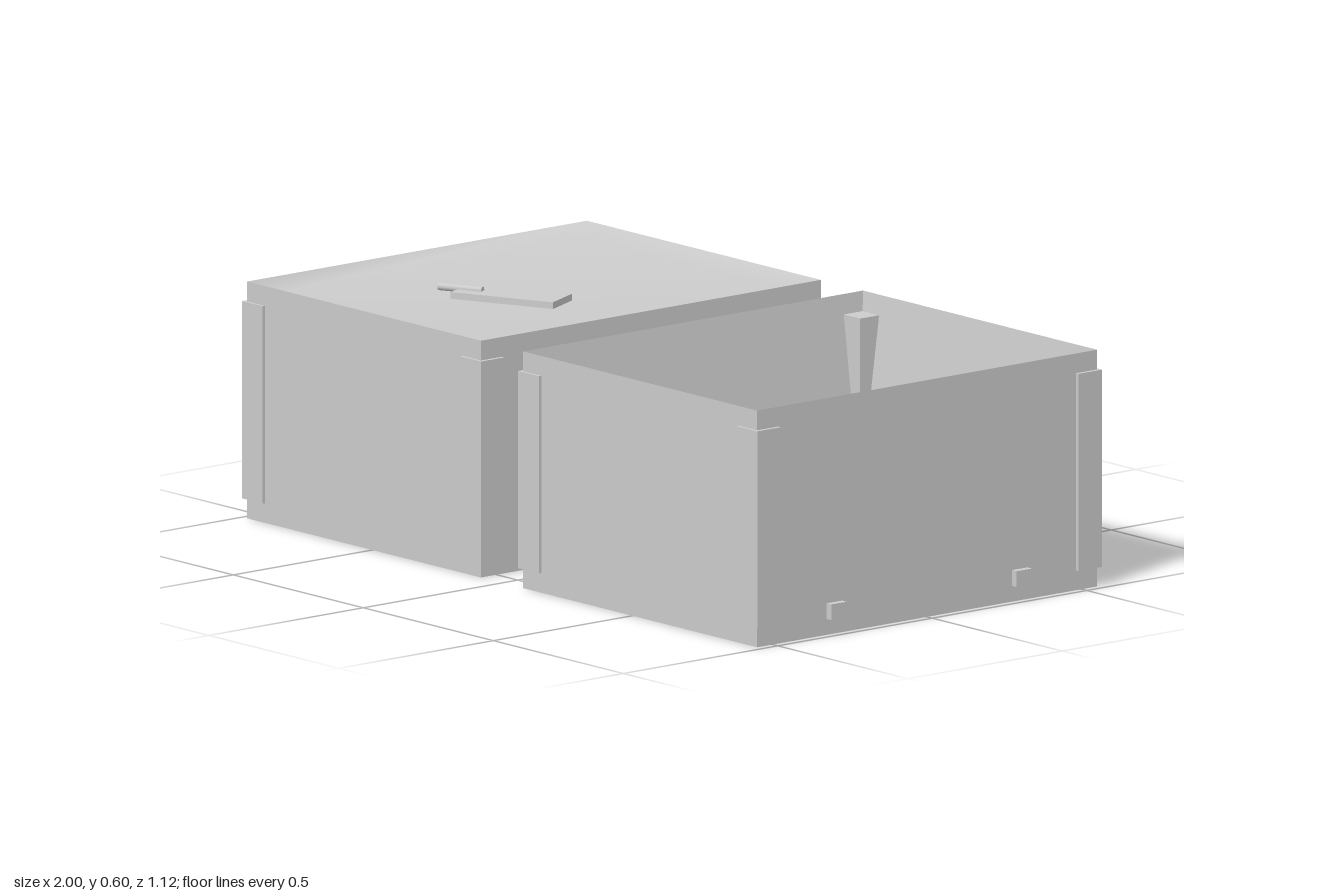
import * as THREE from 'three';

const W = 0.9, D = 1.1, H = 0.6;

export function createModel() {
  const grey = new THREE.MeshStandardMaterial({ color: 0xcccccc, side: THREE.DoubleSide });
  grey.name = 'plain grey';
  const model = new THREE.Group();
  model.name = 'planterBeds';

  const add = (parent, name, geometry, x = 0, y = 0, z = 0) => {
    const mesh = new THREE.Mesh(geometry, grey);
    mesh.name = name;
    mesh.position.set(x, y, z);
    parent.add(mesh);
    return mesh;
  };

  // Surface through two rectangular rings, with an optional floor on the second
  const ringSurface = (w0, d0, y0, w1, d1, y1, floor, smooth) => {
    const pos = [];
    for (const [w, d, y] of [[w0, d0, y0], [w1, d1, y1]]) {
      pos.push(-w / 2, y, d / 2, w / 2, y, d / 2, w / 2, y, -d / 2, -w / 2, y, -d / 2);
    }
    const idx = [];
    for (let i = 0; i < 4; i++) {
      const j = (i + 1) % 4;
      idx.push(i, j, 4 + j, i, 4 + j, 4 + i);
    }
    if (floor) idx.push(4, 5, 6, 4, 6, 7);
    let g = new THREE.BufferGeometry();
    g.setAttribute('position', new THREE.Float32BufferAttribute(pos, 3));
    g.setIndex(idx);
    if (!smooth) g = g.toNonIndexed();
    g.computeVertexNormals();
    return g;
  };

  // Open box with corner posts, cross beams and a tapered tray hung from the rim
  const bed = (name, x, trayY, inset, smooth) => {
    const g = new THREE.Group();
    g.name = name;
    g.position.x = x;
    add(g, 'walls', ringSurface(W, D, 0, W, D, H, false, false));
    add(g, 'tray', ringSurface(W, D, H, W - 2 * inset, D - 2 * inset, trayY, true, smooth));
    for (const sx of [-1, 1]) for (const sz of [-1, 1]) {
      add(g, 'cornerPost', new THREE.BoxGeometry(0.08, 0.5, 0.076), sx * 0.42, 0.3, sz * 0.52);
    }
    for (const z of [-0.3, 0.3]) {
      add(g, 'crossBeam', new THREE.BoxGeometry(0.936, 0.04, 0.05), 0, 0.06, z);
    }
    model.add(g);
    return g;
  };

  const filled = bed('filledBed', -0.532, 0.57, 0.05, true);
  const open = bed('openBed', 0.53, 0.18, 0.058, false);

  // Wire grid inside the open bed
  const grid = new THREE.Group();
  grid.name = 'wireGrid';
  grid.position.set(0.017, 0.35, 0);
  open.add(grid);
  for (const z of [-0.36, -0.12, 0.12, 0.36]) {
    add(grid, 'crossRod', new THREE.CylinderGeometry(0.0075, 0.0075, 0.78, 8), 0, 0, z).rotation.z = Math.PI / 2;
  }
  for (const x of [-0.25, 0, 0.25]) {
    add(grid, 'longRod', new THREE.CylinderGeometry(0.0075, 0.0075, 1.02, 8), x, 0.003, 0).rotation.x = Math.PI / 2;
  }

  // Small hand tool lying on the filled bed
  const tool = new THREE.Group();
  tool.name = 'handTool';
  tool.position.set(0.027, 0.578, 0.096);
  tool.rotation.y = 0.43;
  filled.add(tool);
  add(tool, 'blade', new THREE.BoxGeometry(0.28, 0.018, 0.11));
  add(tool, 'handle', new THREE.CylinderGeometry(0.01, 0.01, 0.12, 8), -0.134, 0.01, 0.009).rotation.z = Math.PI / 2;

  return model;
}
